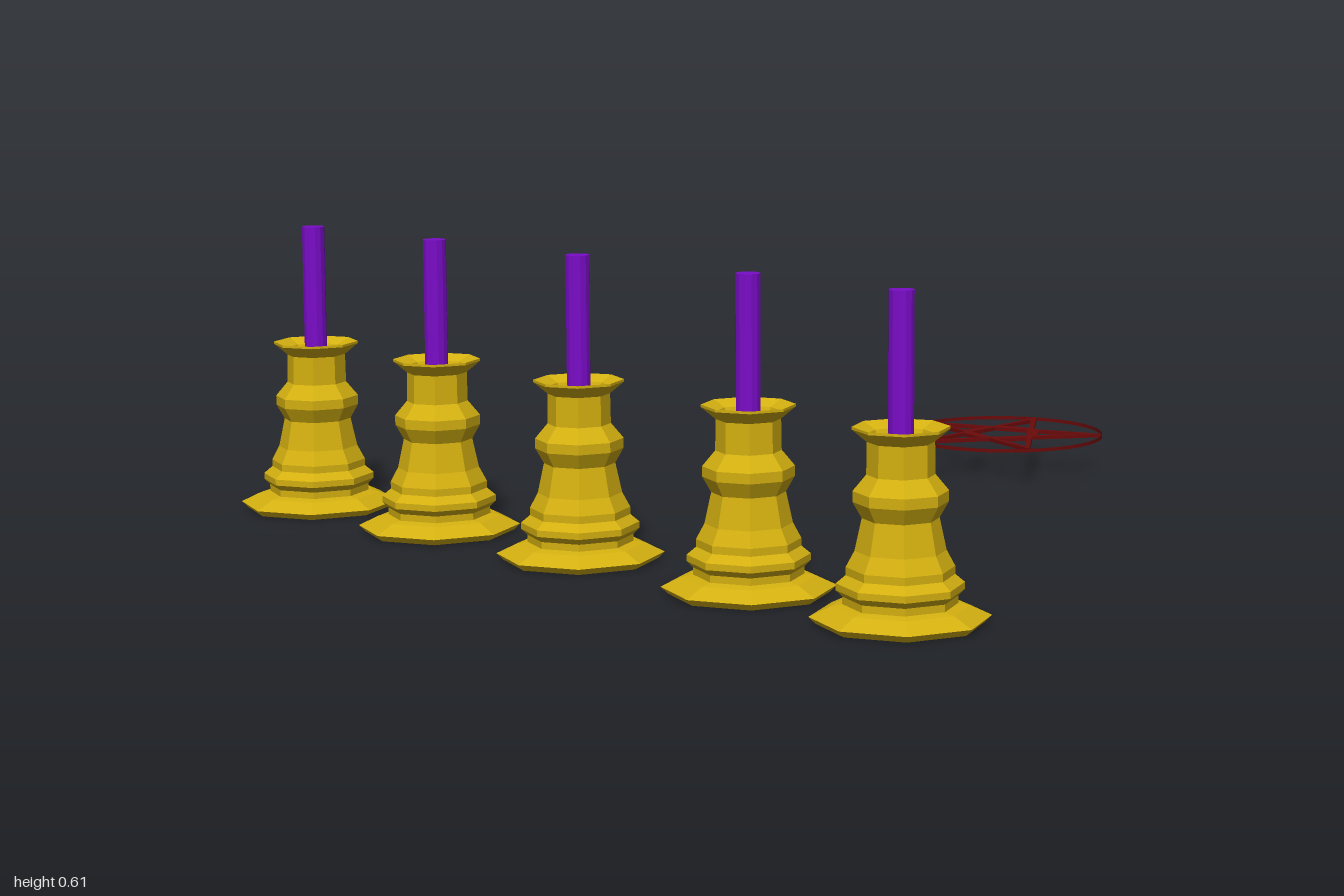
import * as THREE from 'three';

const gold = new THREE.MeshStandardMaterial({ color: 0xd4b010, flatShading: true });
const purple = new THREE.MeshStandardMaterial({ color: 0x7a0cc8, flatShading: true });
const darkRed = new THREE.MeshStandardMaterial({ color: 0x6a0a0a, flatShading: true, side: THREE.DoubleSide });

function addMesh(parent, name, geometry, material) {
  const mesh = new THREE.Mesh(geometry, material);
  mesh.name = name;
  parent.add(mesh);
  return mesh;
}

// Radius and height, from the underside up to the rim and into the socket
const holderProfile = [
  [0, 0], [0.155, 0], [0.168, 0.013], [0.128, 0.032], [0.106, 0.036],
  [0.106, 0.05], [0.118, 0.062], [0.118, 0.075], [0.1, 0.09], [0.1, 0.105],
  [0.084, 0.135], [0.071, 0.195], [0.088, 0.225], [0.088, 0.245], [0.063, 0.275],
  [0.062, 0.335], [0.09, 0.358], [0.09, 0.363], [0.062, 0.35], [0.05, 0.32], [0, 0.32],
].map(([r, y]) => new THREE.Vector2(r, y));

// Eight-sided candlestick with its candle
function createCandlestick() {
  const group = new THREE.Group();
  group.name = 'candlestick';
  addMesh(group, 'holder', new THREE.LatheGeometry(holderProfile, 8), gold);
  const candle = new THREE.CylinderGeometry(0.024, 0.024, 0.292, 12);
  addMesh(group, 'candle', candle, purple).position.y = 0.466;
  return group;
}

const polar = (r, angle) => new THREE.Vector2(r * Math.cos(angle), r * Math.sin(angle));

// Flat star of crossing bars inside a thin hoop
function createStar() {
  const group = new THREE.Group();
  group.name = 'starEmblem';
  const R = 0.229, inner = R * 0.382, step = Math.PI / 5, height = 0.008;
  const tips = [], notches = [], core = [];
  for (let i = 0; i < 5; i++) {
    const a = Math.PI / 2 + i * 2 * step;
    tips.push(polar(R, a));
    notches.push(polar(inner, a + step));
    core.push(polar(0.07, a + step));
  }
  const shape = new THREE.Shape(tips.flatMap((tip, i) => [tip, notches[i]]));
  shape.holes.push(new THREE.Path(core));

  // One triangular opening per point, shrunk about its incentre
  tips.forEach((tip, i) => {
    const a = notches[(i + 4) % 5], b = notches[i];
    const base = a.distanceTo(b), side = tip.distanceTo(a);
    const centre = tip.clone().multiplyScalar(base).addScaledVector(a, side)
      .addScaledVector(b, side).divideScalar(base + 2 * side);
    const corners = [tip, a, b].map((p) => p.clone().lerp(centre, 0.32));
    shape.holes.push(new THREE.Path(corners));
  });

  const star = new THREE.ExtrudeGeometry(shape, { depth: height, bevelEnabled: false });
  star.rotateX(-Math.PI / 2).translate(0, -height / 2, 0);
  addMesh(group, 'star', star, darkRed);
  addMesh(group, 'hoop', new THREE.CylinderGeometry(0.23, 0.23, height, 48, 1, true), darkRed);
  return group;
}

export function createModel() {
  const model = new THREE.Group();
  model.name = 'candlesAndStar';
  for (const z of [-0.832, -0.437, -0.01, 0.453, 0.832]) {
    const stick = createCandlestick();
    stick.position.set(-0.704, 0, z);
    model.add(stick);
  }
  const star = createStar();
  star.position.set(0.641, 0.084, -0.008);
  model.add(star);
  return model;
}
